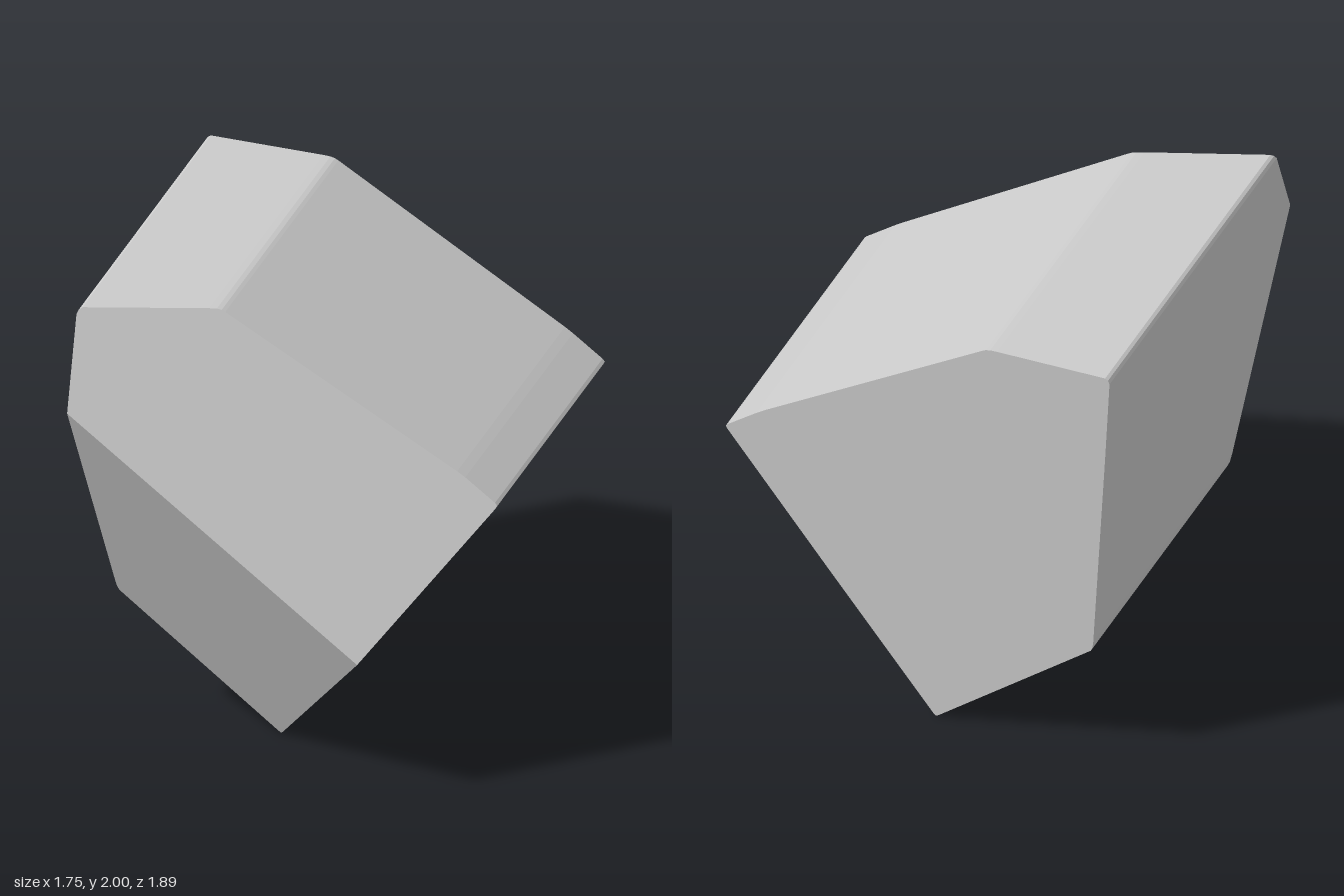
import * as THREE from 'three';

// Outline in x, y, counter-clockwise from the front; small corners are rounded by extra points.
const outline = [
  [0.417, 0.63], // right end of the front ridge
  [0.868, 1.207], [0.875, 1.22], [0.865, 1.232],
  [0.735, 1.33], [0.70, 1.354],
  [-0.295, 1.972], [-0.31, 1.98], [-0.33, 1.985], [-0.36, 1.987],
  [-0.855, 2], [-0.868, 1.992], [-0.875, 1.975],
  [-0.856, 1.6], // left end of the front ridge
  [-0.801, 0.61], [-0.797, 0.575], [-0.79, 0.558],
  [-0.098, 0.009], [-0.083, 0], [-0.074, 0.008],
];
const RIDGE_END = 13;
const DEPTH = 0.945;

export function createModel() {
  const [rx, ry] = outline[0];
  const [lx, ly] = outline[RIDGE_END];
  const length = Math.hypot(rx - lx, ry - ly);

  // The front slopes back on both sides of the ridge.
  const front = outline.map(([x, y]) => {
    const d = ((x - rx) * (ly - ry) * -1 + (y - ry) * (lx - rx)) / length;
    return [x, y, DEPTH - Math.abs(d) * (d < 0 ? 0.63 : 0.622)];
  });
  const back = outline.map(([x, y]) => [x, y, -DEPTH]);

  const positions = [];
  const triangle = (a, b, c) => positions.push(...a, ...b, ...c);
  const fan = (loop) => {
    for (let i = 1; i < loop.length - 1; i++) triangle(loop[0], loop[i], loop[i + 1]);
  };

  fan(front.slice(0, RIDGE_END + 1)); // upper front facet
  fan([...front.slice(RIDGE_END), front[0]]); // lower front facet
  fan([...back].reverse()); // flat back
  front.forEach((p, i) => { // side walls
    const j = (i + 1) % front.length;
    fan([p, back[i], back[j], front[j]]);
  });

  const geometry = new THREE.BufferGeometry();
  geometry.setAttribute('position', new THREE.Float32BufferAttribute(positions, 3));
  geometry.computeVertexNormals();

  const block = new THREE.Mesh(
    geometry,
    new THREE.MeshStandardMaterial({ color: 0xcccccc, flatShading: true }),
  );
  block.name = 'facetedBlock';

  const group = new THREE.Group();
  group.name = 'chiselledBlock';
  group.add(block);
  return group;
}
